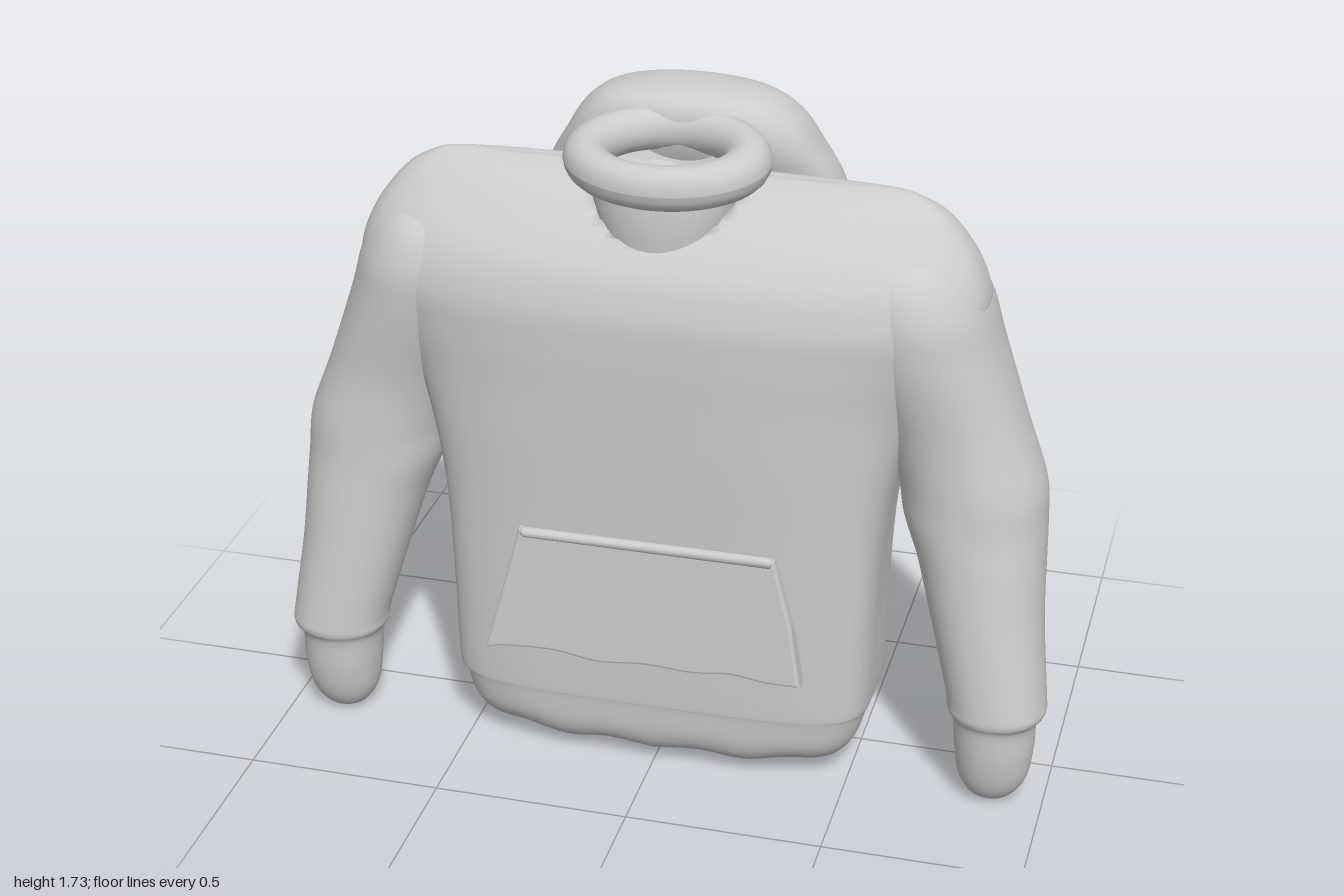
import * as THREE from 'three';

const cloth = new THREE.MeshStandardMaterial({ color: 0xcccccc, side: THREE.DoubleSide });
cloth.name = 'greyCloth';

// Smoothly blend cross-section rows [y, xMin, xMax, zBack, zFront, squareness]
function blendRows(rows, steps) {
  const out = [];
  for (let i = 0; i < rows.length - 1; i++) {
    const p = rows[Math.max(i - 1, 0)], a = rows[i], b = rows[i + 1];
    const q = rows[Math.min(i + 2, rows.length - 1)];
    for (let s = 0; s < steps; s++) {
      const t = s / steps;
      out.push(a.map((v, k) => {
        const m0 = (b[k] - p[k]) / 2, m1 = (q[k] - v) / 2, d = b[k] - v;
        return v + m0 * t + (3 * d - 2 * m0 - m1) * t * t + (m0 + m1 - 2 * d) * t * t * t;
      }));
    }
  }
  out.push(rows[rows.length - 1]);
  return out;
}

// Closed skin over superellipse cross-sections stacked upward
function loft(name, rows, { segs = 64, steps = 5, shape = null } = {}) {
  const rings = blendRows(rows, steps), pos = [], idx = [];
  for (const [y, x0, x1, z0, z1, n] of rings) {
    for (let j = 0; j < segs; j++) {
      const a = (j / segs) * Math.PI * 2, c = Math.cos(a), s = Math.sin(a);
      const x = (x0 + x1) / 2 + (x1 - x0) / 2 * Math.sign(c) * Math.abs(c) ** (2 / n);
      const z = (z0 + z1) / 2 + (z1 - z0) / 2 * Math.sign(s) * Math.abs(s) ** (2 / n);
      pos.push(x, y, z);
    }
  }
  for (let i = 0; i < rings.length - 1; i++) {
    for (let j = 0; j < segs; j++) {
      const a = i * segs + j, b = i * segs + (j + 1) % segs;
      idx.push(a, a + segs, b, b, a + segs, b + segs);
    }
  }
  const end = (rings.length - 1) * segs;
  for (const r of [rings[0], rings[rings.length - 1]]) {
    pos.push((r[1] + r[2]) / 2, r[0], (r[3] + r[4]) / 2);
  }
  const low = rings.length * segs;
  for (let j = 0; j < segs; j++) {
    const k = (j + 1) % segs;
    idx.push(low, j, k, low + 1, end + k, end + j);
  }
  if (shape) {
    for (let i = 0; i < pos.length; i += 3) {
      const p = shape(pos[i], pos[i + 1], pos[i + 2]);
      pos[i] = p[0]; pos[i + 1] = p[1]; pos[i + 2] = p[2];
    }
  }
  const g = new THREE.BufferGeometry();
  g.setAttribute('position', new THREE.Float32BufferAttribute(pos, 3));
  g.setIndex(idx);
  return mesh(name, g);
}

function mesh(name, geometry) {
  geometry.computeVertexNormals();
  const m = new THREE.Mesh(geometry, cloth);
  m.name = name;
  return m;
}

const even = (y, w, z0, z1, n) => [y, -w, w, z0, z1, n];

// Torso with shoulders: wavy hem, soft back folds and a sunken neck opening
function torso() {
  const rows = [
    even(0.025, 0.38, -0.08, 0.18, 3), even(0.045, 0.46, -0.13, 0.235, 3.5),
    even(0.10, 0.51, -0.17, 0.265, 4), even(0.19, 0.53, -0.185, 0.275, 4.5),
    even(0.215, 0.545, -0.195, 0.28, 4.5), even(0.45, 0.55, -0.2, 0.287, 4.5),
    even(0.70, 0.565, -0.21, 0.295, 4), even(0.90, 0.60, -0.215, 0.303, 3.5),
    even(1.05, 0.65, -0.22, 0.308, 3), even(1.18, 0.72, -0.22, 0.312, 2.7),
    even(1.29, 0.785, -0.215, 0.308, 2.5), even(1.40, 0.76, -0.19, 0.27, 2.5),
    even(1.50, 0.69, -0.12, 0.18, 2.5), even(1.55, 0.62, -0.05, 0.11, 2.5),
    even(1.572, 0.54, 0.0, 0.055, 2.4), even(1.573, 0.3, 0.02, 0.04, 2.2),
    even(1.573, 0.02, 0.027, 0.033, 2),
  ];
  return loft('torso', rows, {
    segs: 120, steps: 6,
    shape: (x, y, z) => {
      if (y < 0.2) y += 0.008 * (1 - y / 0.2) * (1 - Math.cos(x * 27));
      if (z < -0.1 && y < 1) z += 0.006 * Math.cos(x * 22);
      if (y > 1.38) {
        const d = Math.hypot(x / 0.17, (z - 0.09) / 0.14);
        y -= 0.2 * (1 - THREE.MathUtils.smoothstep(d, 0.65, 1));
      }
      return [x, y, z];
    },
  });
}

// Sleeve with bent elbow, gathered wrist and rounded cuff
function sleeve(name, side) {
  const rows = [
    [0.004, 0.85, 0.88, 0.14, 0.17], [0.02, 0.81, 0.92, 0.10, 0.21],
    [0.07, 0.78, 0.955, 0.07, 0.24], [0.15, 0.768, 0.968, 0.055, 0.258],
    [0.235, 0.76, 0.972, 0.05, 0.265], [0.265, 0.745, 0.993, 0.035, 0.277],
    [0.31, 0.738, 0.99, 0.025, 0.275], [0.50, 0.685, 0.968, -0.03, 0.255],
    [0.65, 0.64, 0.96, -0.085, 0.24], [0.75, 0.60, 0.955, -0.12, 0.23],
    [0.85, 0.58, 0.945, -0.135, 0.225], [1.0, 0.53, 0.89, -0.155, 0.222],
    [1.2, 0.44, 0.822, -0.19, 0.245], [1.32, 0.42, 0.785, -0.18, 0.245],
    [1.42, 0.45, 0.72, -0.12, 0.2], [1.48, 0.55, 0.62, 0, 0.08],
  ];
  return loft(name, rows.map(([y, a, b, z0, z1]) =>
    side > 0 ? [y, a, b, z0, z1, 2.1] : [y, -b, -a, z0, z1, 2.1]), { segs: 48 });
}

// Hood lying folded down on the back
function hood() {
  return loft('hood', [
    even(0.94, 0.04, -0.23, -0.19, 2), even(0.96, 0.15, -0.24, -0.17, 2.2),
    even(1.03, 0.26, -0.265, -0.13, 2.4), even(1.18, 0.365, -0.295, -0.11, 2.7),
    even(1.35, 0.40, -0.312, -0.10, 2.8), even(1.48, 0.375, -0.32, -0.08, 2.8),
    even(1.58, 0.32, -0.322, -0.04, 2.8), even(1.65, 0.275, -0.31, -0.03, 2.6),
    even(1.70, 0.21, -0.275, -0.045, 2.4), even(1.725, 0.11, -0.22, -0.09, 2.2),
    even(1.73, 0.02, -0.17, -0.14, 2),
  ]);
}

// Rolled collar around the neck with a tapering inner band
function collar() {
  const g = new THREE.Group();
  g.name = 'collar';
  const ring = new THREE.TorusGeometry(0.19, 0.056, 20, 64);
  ring.rotateX(Math.PI / 2).scale(1.03, 1, 0.83).rotateX(0.1).translate(0, 1.617, 0.085);
  g.add(mesh('collarRoll', ring));
  const band = new THREE.LatheGeometry([[0.13, 1.4], [0.16, 1.47], [0.18, 1.54], [0.19, 1.62]]
    .map(p => new THREE.Vector2(...p)), 48);
  band.scale(1, 1, 0.81).translate(0, 0, 0.085);
  const p = band.attributes.position;
  for (let i = 0; i < p.count; i++) p.setZ(i, p.getZ(i) + (1.62 - p.getY(i)) * 0.22);
  g.add(mesh('neckBand', band));
  return g;
}

// Front pocket with flared sides, wavy lower edge and a stitched top hem
function pocket() {
  const g = new THREE.Group();
  g.name = 'pocket';
  const s = new THREE.Shape();
  s.moveTo(-0.32, 0.325);
  s.lineTo(-0.365, 0.15);
  s.lineTo(-0.41, -0.01);
  s.splineThru([[-0.36, 0], [-0.24, 0.005], [-0.12, -0.01], [0, 0], [0.12, -0.005],
    [0.22, 0.005], [0.31, -0.005], [0.39, -0.005]].map(q => new THREE.Vector2(...q)));
  s.lineTo(0.365, 0.15);
  s.lineTo(0.32, 0.325);
  const patch = new THREE.ExtrudeGeometry(s, {
    depth: 0.035, bevelEnabled: true, bevelSize: 0.008, bevelThickness: 0.008, bevelSegments: 2,
  });
  g.add(mesh('pocketPatch', patch));
  const hem = new THREE.CapsuleGeometry(0.014, 0.62, 4, 10).rotateZ(Math.PI / 2);
  g.add(mesh('pocketHem', hem));
  hem.translate(0, 0.325, 0.036);
  g.position.set(0, 0.345, 0.275);
  g.rotation.x = -0.03;
  return g;
}

export function createModel() {
  const model = new THREE.Group();
  model.name = 'hoodedSweatshirt';
  model.add(torso(), sleeve('leftSleeve', 1), sleeve('rightSleeve', -1), hood(), collar(), pocket());
  return model;
}
